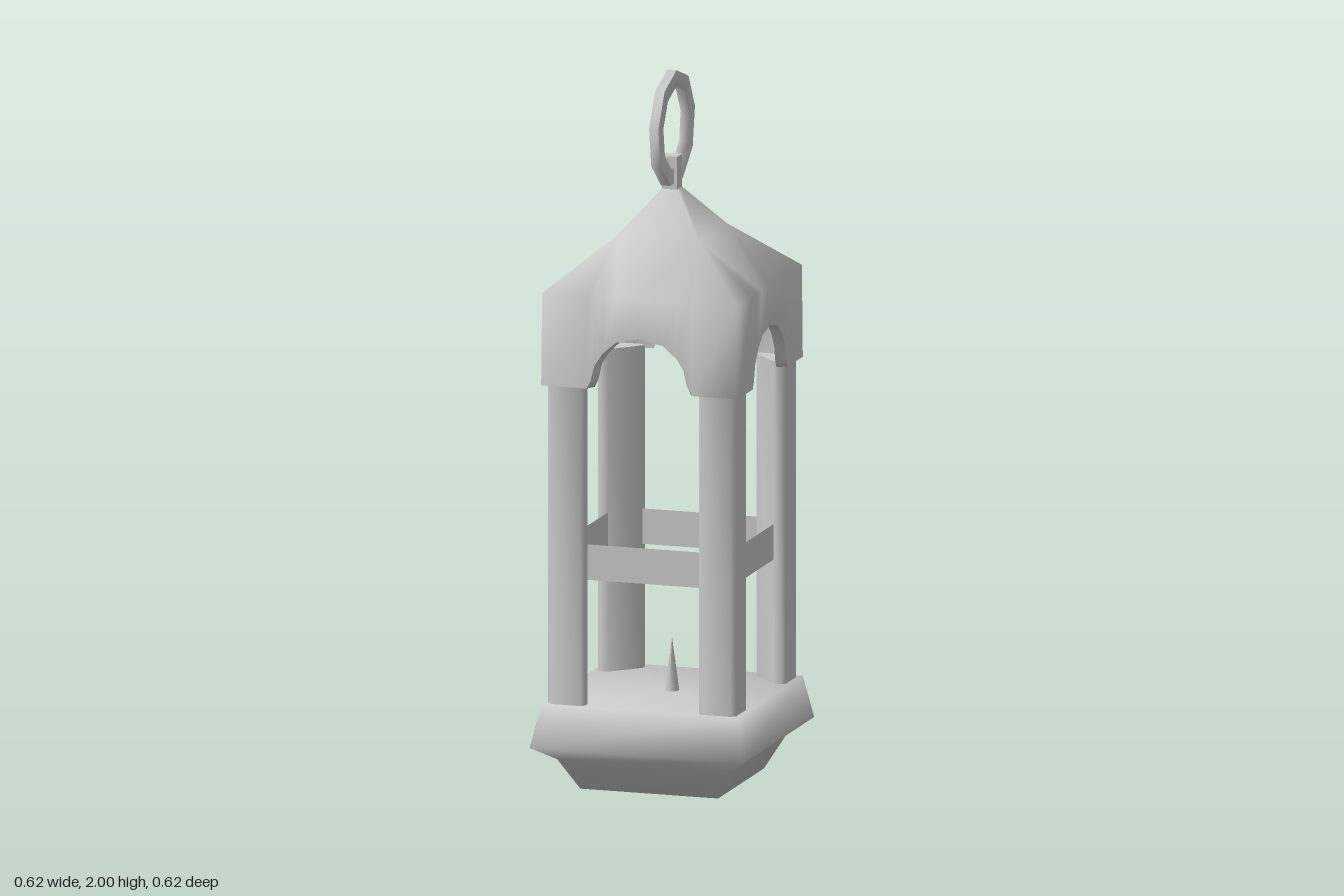
import * as THREE from 'three';
import { mergeVertices, toCreasedNormals } from 'three/addons/utils/BufferGeometryUtils.js';

const grey = new THREE.MeshStandardMaterial({ color: 0xcccccc });
const greyDouble = new THREE.MeshStandardMaterial({ color: 0xcccccc, side: THREE.DoubleSide });

function add(parent, name, geometry, material = grey) {
  const mesh = new THREE.Mesh(geometry, material);
  mesh.name = name;
  parent.add(mesh);
  return mesh;
}

// Square loft: rings are [halfWidth, height, cornersOnly]; height may depend on
// the column position s (-1..1 along a side). Smooth normals are shared.
function squareLoft(rings, columns = [-1]) {
  const up = new THREE.Vector3(0, 1, 0);
  const loops = rings.map(([half, y, cornersOnly]) => {
    const loop = [];
    for (let side = 0; side < 4; side++) {
      for (const s of columns) {
        const across = cornersOnly ? (s < 0 ? -1 : 1) : s;
        const p = new THREE.Vector3(across * half, typeof y === 'function' ? y(s) : y, half);
        loop.push(p.applyAxisAngle(up, side * Math.PI / 2));
      }
    }
    return loop;
  });
  const pos = [];
  const tri = (a, b, c) => {
    if (a.distanceTo(b) < 1e-5 || b.distanceTo(c) < 1e-5 || a.distanceTo(c) < 1e-5) return;
    for (const p of [a, b, c]) pos.push(p.x, p.y, p.z);
  };
  for (let r = 0; r < loops.length - 1; r++) {
    const lo = loops[r], hi = loops[r + 1], n = lo.length;
    for (let i = 0; i < n; i++) {
      const j = (i + 1) % n;
      tri(lo[i], lo[j], hi[j]);
      tri(lo[i], hi[j], hi[i]);
    }
  }
  let g = new THREE.BufferGeometry();
  g.setAttribute('position', new THREE.Float32BufferAttribute(pos, 3));
  g = mergeVertices(g, 1e-4);
  g.computeVertexNormals();
  return g;
}

export function createModel() {
  const model = new THREE.Group();
  model.name = 'lantern';

  // Base tray
  add(model, 'base', squareLoft([
    [0, 0], [0.2, 0], [0.25, 0.09], [0.31, 0.13], [0.285, 0.25], [0, 0.25],
  ]));

  // Candle spike
  add(model, 'candleSpike', new THREE.ConeGeometry(0.022, 0.16, 6)).position.y = 0.32;

  // Corner posts: outer corner softened, inner corner cut off wide
  const section = [
    [0.273, 0.26], [0.26, 0.273], [0.175, 0.273], [0.165, 0.263],
    [0.165, 0.24], [0.24, 0.165], [0.263, 0.165], [0.273, 0.175],
  ].map(([x, y]) => new THREE.Vector2(x, y));
  let postGeo = new THREE.ExtrudeGeometry(new THREE.Shape(section), { depth: 0.92, bevelEnabled: false });
  postGeo.rotateX(-Math.PI / 2);
  postGeo.translate(0, 0.24, 0);
  postGeo = toCreasedNormals(postGeo, 0.9);
  const rail = new THREE.PlaneGeometry(0.33, 0.1);
  rail.translate(0, 0.65, 0.24);
  for (let i = 0; i < 4; i++) {
    add(model, 'post', postGeo).rotation.y = i * Math.PI / 2;
    // Flat rail between neighbouring posts
    add(model, 'rail', rail, greyDouble).rotation.y = i * Math.PI / 2;
  }

  // Roof with an arch cut in every side
  const arch = [[0, 1.3], [0.24, 1.285], [0.38, 1.25], [0.46, 1.215], [0.5, 1.17], [0.54, 1.15], [1, 1.15]];
  const archY = (s) => arch.find(([a]) => Math.abs(a - Math.abs(s)) < 1e-6)[1];
  const columns = [
    ...arch.map(([a]) => -a).reverse(),
    ...arch.slice(1, -1).map(([a]) => a),
  ];
  const roof = new THREE.Group();
  roof.name = 'roof';
  model.add(roof);
  add(roof, 'roofOutside', squareLoft(
    [[0.285, archY], [0.283, 1.41], [0.12, 1.55, true], [0.02, 1.67, true], [0, 1.67]], columns));
  add(roof, 'archRim', squareLoft([[0.257, archY], [0.285, archY]], columns), greyDouble);
  add(roof, 'roofInside', squareLoft(
    [[0, 1.63], [0.11, 1.52, true], [0.255, 1.39], [0.257, archY]], columns));

  // Hanger lug
  add(model, 'hangerLug', new THREE.BoxGeometry(0.044, 0.11, 0.044)).position.y = 1.705;

  // Nine-sided carrying ring with a flat-sided section
  const ringProfile = [
    [0.1625, -0.0135], [0.1625, 0.0135], [0.118, 0.0135], [0.118, -0.0135], [0.1625, -0.0135],
  ].map(([r, h]) => new THREE.Vector2(r, h));
  const ringGeo = new THREE.LatheGeometry(ringProfile, 9);
  ringGeo.rotateX(-Math.PI / 2);
  ringGeo.rotateY(Math.PI / 2);
  add(model, 'carryingRing', ringGeo).position.y = 1.8375;

  return model;
}
